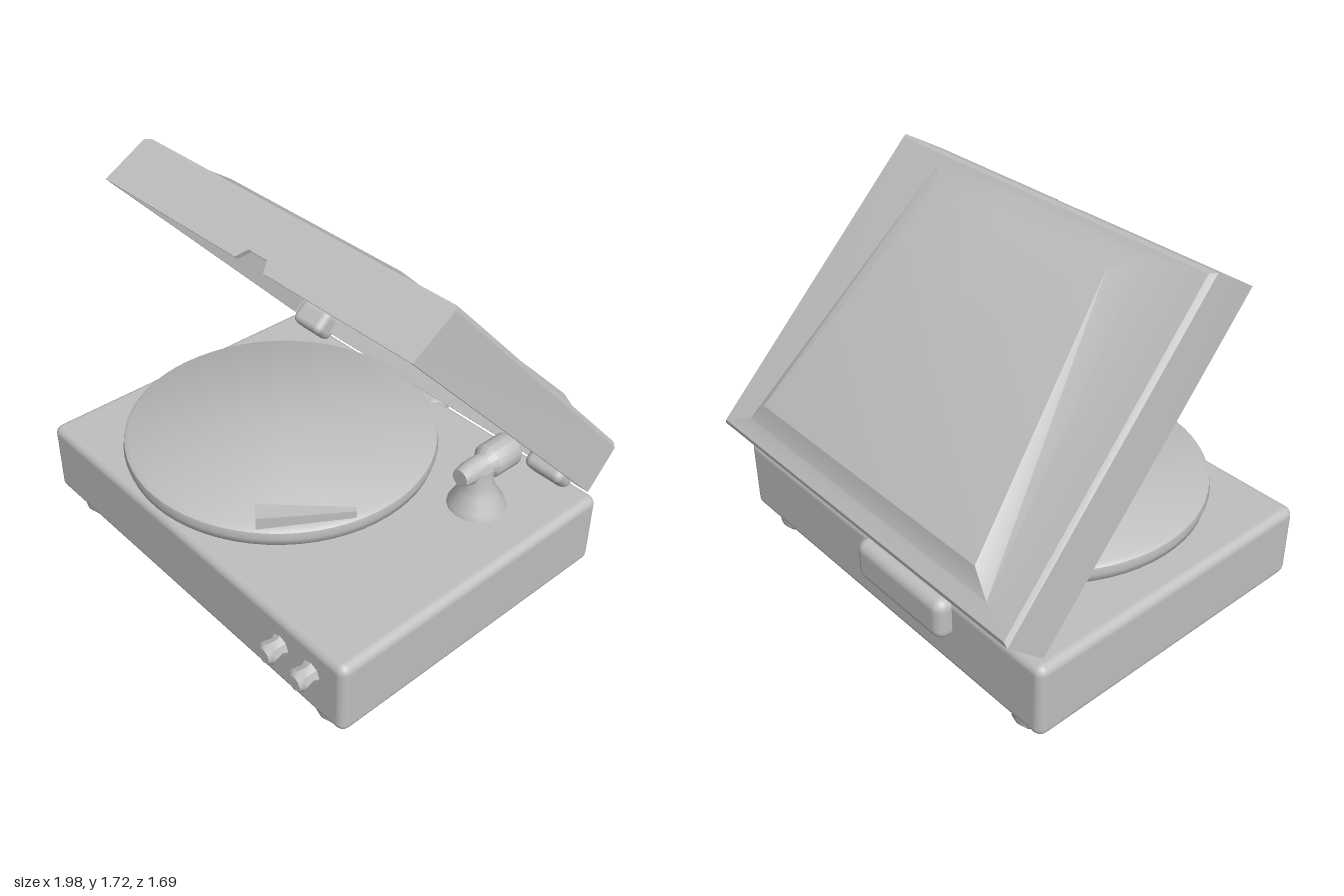
import * as THREE from 'three';
import { toCreasedNormals } from 'three/addons/utils/BufferGeometryUtils.js';
import { RoundedBoxGeometry } from 'three/addons/geometries/RoundedBoxGeometry.js';

const grey = new THREE.MeshStandardMaterial({ color: 0xbfbfbf, side: THREE.DoubleSide });
grey.name = 'plain grey';

// Turned part from [radius, height] pairs
function turned(points, sides) {
  const g = new THREE.LatheGeometry(points.map(([r, y]) => new THREE.Vector2(r, y)), sides);
  return toCreasedNormals(g, 0.7);
}

// Lid space: x across, v from hinge to front edge, w from rim to outer face
function lidPoint(x, v, w) {
  const mix = THREE.MathUtils.lerp;
  const z = mix(mix(-0.67, 0.4, v), mix(-0.85, 0.18, v), w);
  const y = mix(mix(0.47, 1.6, v), mix(0.63, 1.73, v), w);
  return [x, y, z];
}

// Closed thin shell: rings run over the outer panel, down the walls, round the rim and back inside
function lidGeometry() {
  // half width at hinge, half width at front, v range, w at hinge, w at front, notch depth
  const rings = [
    [0.70, 0.50, 0.12, 0.90, 1.24, 1.12, 0],
    [0.79, 0.60, 0.06, 0.96, 1.03, 1.00, 0],
    [0.935, 0.88, 0.01, 0.99, 1.00, 1.00, 0],
    [0.95, 0.90, 0, 1, 0.92, 0.92, 0],
    [0.96, 0.905, 0, 1, 0, 0, 0.2],
    [0.935, 0.88, 0.015, 0.985, 0, 0, 0.2],
    [0.92, 0.86, 0.02, 0.98, 0.75, 0.85, 0],
    [0.78, 0.60, 0.08, 0.95, 0.92, 0.92, 0],
    [0.69, 0.50, 0.13, 0.89, 1.14, 1.02, 0],
  ].map(([hb, hf, v0, v1, wb, wf, n]) => [
    lidPoint(hb, v0, wb), lidPoint(hf, v1, wf),
    lidPoint(0.13, v1, wf), lidPoint(0.10, v1, wf + n),
    lidPoint(-0.01, v1, wf + n), lidPoint(-0.04, v1, wf),
    lidPoint(-hf, v1, wf), lidPoint(-hb, v0, wb),
  ]);
  const pos = [];
  const tri = (a, b, c) => pos.push(...a, ...b, ...c);
  const count = rings[0].length;
  const outer = lidPoint(0, 0.5, 1.26), inner = lidPoint(0, 0.5, 1.16);
  for (let j = 0; j < count; j++) {
    const k = (j + 1) % count;
    tri(outer, rings[0][k], rings[0][j]);
    for (let i = 0; i < rings.length - 1; i++) {
      const p = rings[i], q = rings[i + 1];
      tri(p[j], p[k], q[k]);
      tri(p[j], q[k], q[j]);
    }
    tri(inner, rings[rings.length - 1][j], rings[rings.length - 1][k]);
  }
  const g = new THREE.BufferGeometry();
  g.setAttribute('position', new THREE.Float32BufferAttribute(pos, 3));
  return toCreasedNormals(g, 0.5);
}

export function createModel() {
  const model = new THREE.Group();
  model.name = 'recordPlayer';
  const add = (name, geometry, x, y, z, parent = model) => {
    const m = new THREE.Mesh(geometry, grey);
    m.name = name;
    m.position.set(x, y, z);
    parent.add(m);
    return m;
  };

  // Plinth with a soft bulge at the back
  add('plinth', new RoundedBoxGeometry(1.98, 0.355, 1.48, 3, 0.04), 0, 0.265, 0.03);
  add('backBulge', new RoundedBoxGeometry(0.56, 0.2, 0.14, 3, 0.05), -0.2, 0.35, -0.705);

  // Feet
  const foot = turned([[0, 0], [0.065, 0], [0.083, 0.025], [0.083, 0.07], [0.07, 0.11], [0, 0.11]], 12);
  for (const x of [-0.82, 0.83]) {
    for (const z of [-0.59, 0.65]) add('foot', foot, x, 0, z);
  }

  // Platter
  add('platter', turned([
    [0, 0], [0.6, 0], [0.66, 0.015], [0.69, 0.04], [0.7, 0.075], [0.695, 0.105], [0.675, 0.12], [0, 0.125],
  ], 64), -0.175, 0.44, 0.08);

  // Control knobs, flared towards the front
  const knob = turned([[0, 0], [0.055, 0], [0.04, 0.03], [0.05, 0.075], [0.035, 0.095], [0, 0.095]], 8);
  for (const x of [0.63, 0.81]) add('knob', knob, x, 0.3, 0.76).rotation.x = Math.PI / 2;

  // Tonearm pivot: flared stand, swivel head and counterweight
  const tonearm = new THREE.Group();
  tonearm.name = 'tonearm';
  model.add(tonearm);
  add('armStand', turned([
    [0, 0], [0.13, 0], [0.12, 0.025], [0.085, 0.08], [0.065, 0.13], [0.06, 0.2], [0, 0.2],
  ], 16), 0.67, 0.44, -0.29, tonearm);
  const head = add('swivelHead', turned([
    [0, -0.12], [0.04, -0.12], [0.05, -0.07], [0.05, 0.02], [0.075, 0.05], [0.075, 0.18], [0.06, 0.2], [0, 0.2],
  ], 14), 0.66, 0.63, -0.3, tonearm);
  head.rotation.x = -Math.PI / 2;

  // Headshell: a slim wedge tapering towards the pivot
  const shell = new THREE.BoxGeometry(0.09, 0.055, 0.4, 1, 1, 3);
  const p = shell.attributes.position;
  for (let i = 0; i < p.count; i++) {
    const t = p.getZ(i) / 0.4 + 0.5;
    p.setX(i, p.getX(i) * (0.3 + 0.7 * t));
    p.setY(i, p.getY(i) * (0.6 + 0.4 * t));
  }
  const headshell = add('headshell', toCreasedNormals(shell, 0.5), 0.43, 0.657, 0.46, tonearm);
  headshell.rotation.y = -0.66;

  // Hinges
  for (const x of [-0.77, 0.77]) {
    const hinge = add('hinge', new RoundedBoxGeometry(0.2, 0.13, 0.13, 2, 0.035), x, 0.515, -0.655);
    hinge.rotation.x = 0.75;
  }

  // Open lid
  add('lid', lidGeometry(), 0, 0, 0);
  return model;
}
